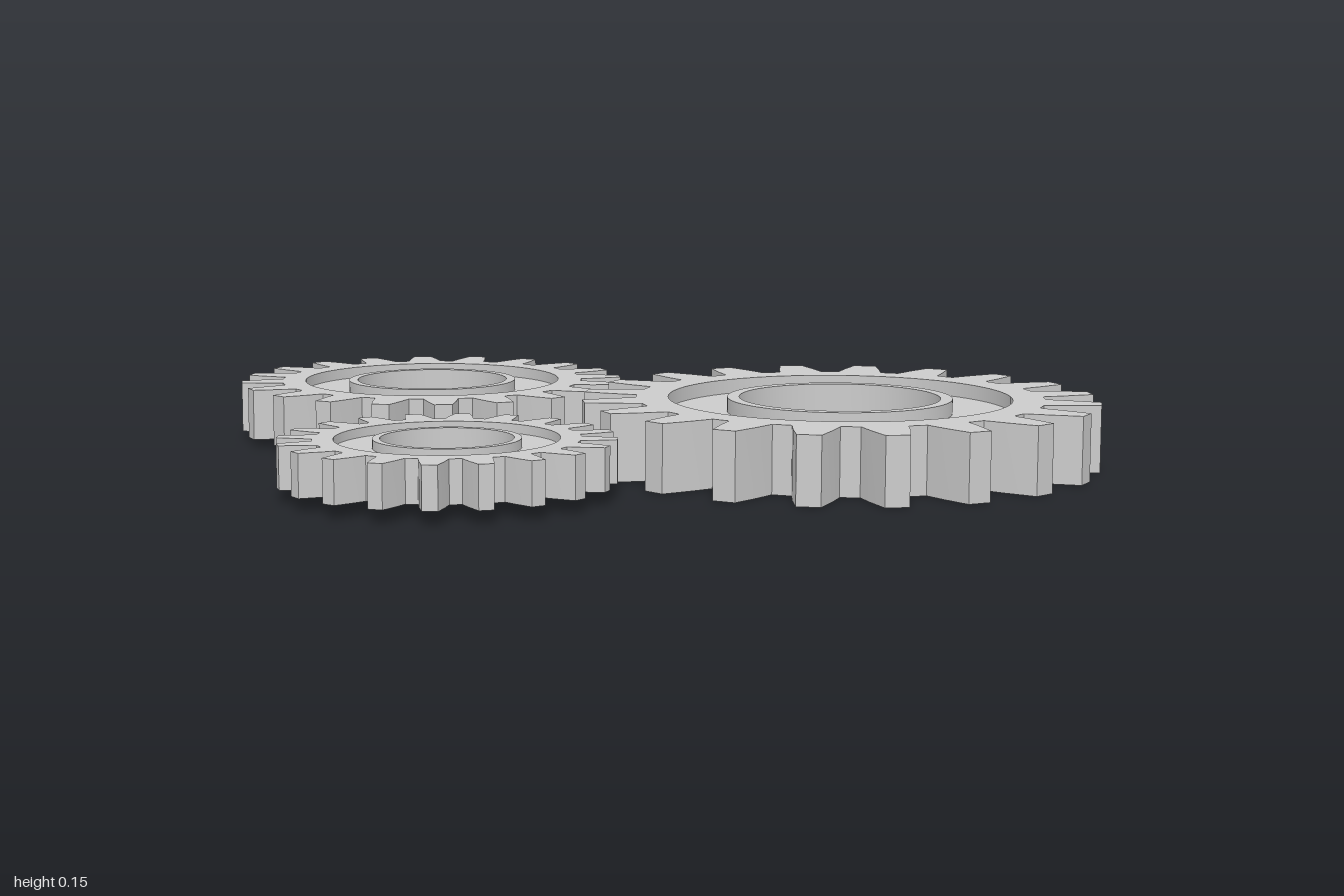
import * as THREE from 'three';
import { toCreasedNormals } from 'three/addons/utils/BufferGeometryUtils.js';

const TEETH = 20;
const material = new THREE.MeshStandardMaterial({ color: 0xcccccc });

// Half a tooth as [distance from centre, half width], relative to the tip radius
const TOOTH = [[0.785, 0.087], [0.88, 0.072], [1, 0.045]];

function toothedOutline(radius) {
  const flank = [...TOOTH.map(([r, w]) => [r, -w]), ...[...TOOTH].reverse()];
  const points = [];
  for (let i = 0; i < TEETH; i++) {
    const a = (i / TEETH) * Math.PI * 2;
    for (const [r, w] of flank) {
      points.push(new THREE.Vector2(r, w).multiplyScalar(radius).rotateAround(new THREE.Vector2(), a));
    }
  }
  return new THREE.Shape(points);
}

function createGear({ name, x, y, z, radius, height, recess, hub, bore, turn }) {
  const gear = new THREE.Group();
  gear.name = name;
  const depth = height * 0.22;

  // Toothed rim, open inside the recess
  const outline = toothedOutline(radius);
  outline.holes.push(new THREE.Path().absarc(0, 0, recess, 0, Math.PI * 2, true));
  const rimGeometry = new THREE.ExtrudeGeometry(outline, { depth: height, bevelEnabled: false, curveSegments: 72 });
  rimGeometry.rotateX(-Math.PI / 2);
  const rim = new THREE.Mesh(toCreasedNormals(rimGeometry, 0.2), material);
  rim.name = 'toothedRim';

  // Thin web, recessed on both sides, with a raised hub around the bore
  const edge = recess + 0.004;
  const profile = [
    [bore, 0], [hub, 0], [hub, depth], [edge, depth],
    [edge, height - depth], [hub, height - depth], [hub, height], [bore, height], [bore, 0],
  ].map(([r, h]) => new THREE.Vector2(r, h));
  const web = new THREE.Mesh(toCreasedNormals(new THREE.LatheGeometry(profile, 72), 0.5), material);
  web.name = 'webAndHub';

  gear.add(rim, web);
  gear.position.set(x, y, z);
  gear.rotation.y = turn;
  return gear;
}

export function createModel() {
  const model = new THREE.Group();
  model.name = 'gearTrain';
  model.add(
    createGear({ name: 'largeGear', x: 0.347, y: 0, z: 0.418, radius: 0.581, height: 0.15,
      recess: 0.386, hub: 0.253, bore: 0.226, turn: 0 }),
    createGear({ name: 'mediumGear', x: -0.051, y: 0.018, z: -0.544, radius: 0.456, height: 0.117,
      recess: 0.304, hub: 0.2, bore: 0.179, turn: 0 }),
    createGear({ name: 'smallGear', x: -0.572, y: 0.029, z: 0.145, radius: 0.358, height: 0.093,
      recess: 0.238, hub: 0.157, bore: 0.141, turn: Math.PI / TEETH }),
  );
  return model;
}
